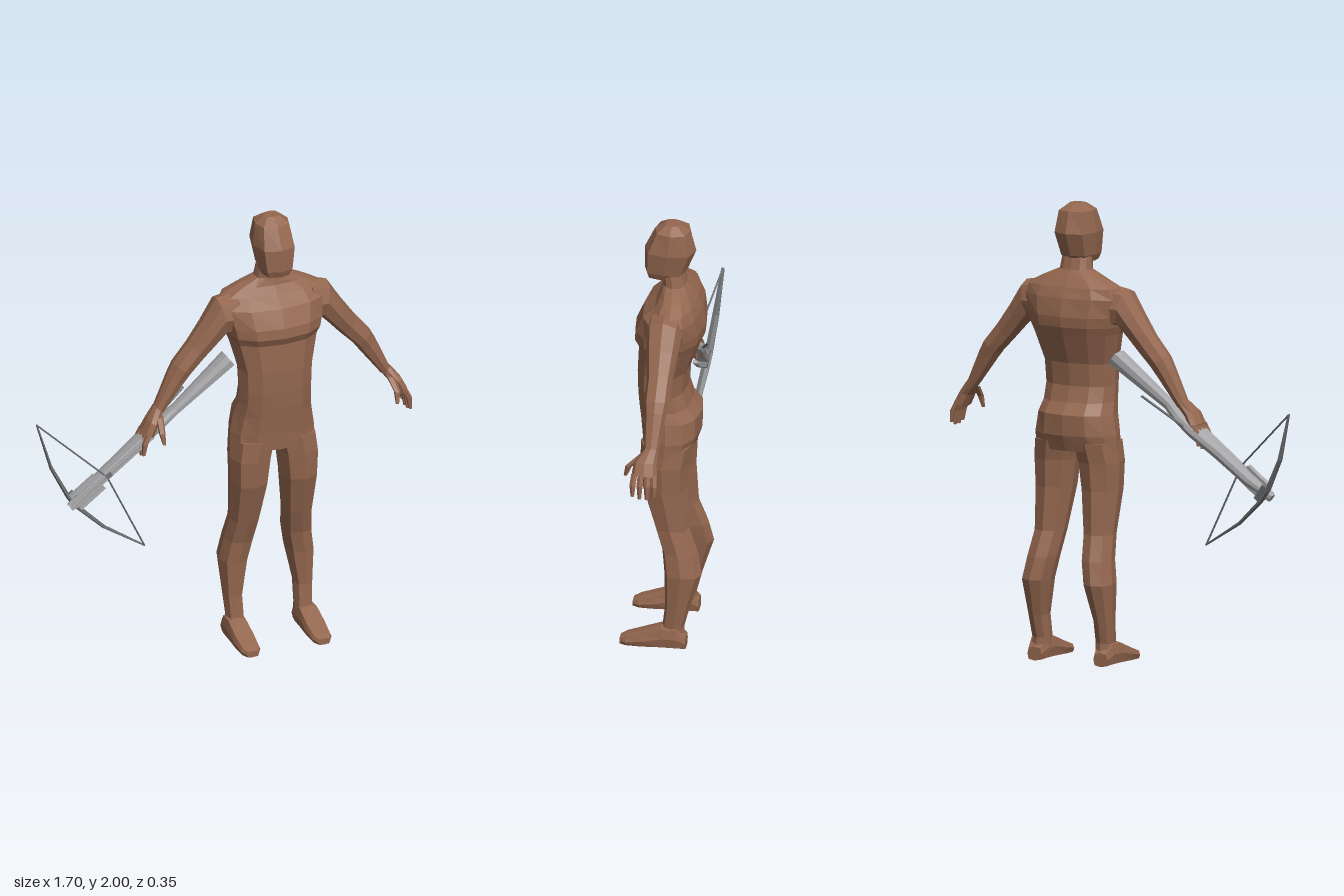
import * as THREE from 'three';

const V = (x, y, z) => new THREE.Vector3(x, y, z);
const skin = new THREE.MeshStandardMaterial({ color: 0x94674f });
skin.name = 'brown skin';
const paleGrey = new THREE.MeshStandardMaterial({ color: 0xa6a6a8 });
paleGrey.name = 'pale grey';
const darkGrey = new THREE.MeshStandardMaterial({ color: 0x6c6e70 });
darkGrey.name = 'dark grey';

// Closed cross-section around c, spanned by half-axes A and B; e < 1 makes it boxier
function ring(c, A, B, n, e = 1) {
  const pw = (v) => (Math.abs(v) < 1e-6 ? 0 : Math.sign(v) * Math.abs(v) ** e);
  return Array.from({ length: n }, (_, i) => {
    const a = (i / n) * Math.PI * 2;
    return c.clone().addScaledVector(A, pw(Math.cos(a))).addScaledVector(B, pw(Math.sin(a)));
  });
}

// Faceted skin over a list of rings, capped at both ends and always facing outwards
function loft(rings) {
  const tris = [], n = rings[0].length;
  for (let k = 0; k + 1 < rings.length; k++) {
    for (let i = 0; i < n; i++) {
      const j = (i + 1) % n, a = rings[k], b = rings[k + 1];
      tris.push([a[i], a[j], b[j]], [a[i], b[j], b[i]]);
    }
  }
  const first = rings[0], last = rings[rings.length - 1];
  for (let i = 1; i + 1 < n; i++) {
    tris.push([first[0], first[i + 1], first[i]], [last[0], last[i], last[i + 1]]);
  }
  const volume = tris.reduce((s, [a, b, c]) => s + a.dot(b.clone().cross(c)), 0);
  const pts = tris.flatMap(([a, b, c]) => (volume < 0 ? [a, c, b] : [a, b, c]));
  const g = new THREE.BufferGeometry().setFromPoints(pts);
  g.computeVertexNormals();
  return g;
}

function add(group, name, geometry, material) {
  const m = new THREE.Mesh(geometry, material);
  m.name = name;
  group.add(m);
  return m;
}

// Horizontal section: x range, height, front and back depth
const slice = (x0, x1, y, zf, zb, n, e) =>
  ring(V((x0 + x1) / 2, y, (zf + zb) / 2), V((x1 - x0) / 2, 0, 0), V(0, 0, (zf - zb) / 2), n, e);

function buildTorsoAndHead(body) {
  // height, half width, front, back
  const torso = [
    [0.93, 0.195, 0.1, -0.125], [1.0, 0.192, 0.105, -0.15], [1.09, 0.175, 0.115, -0.152],
    [1.14, 0.166, 0.12, -0.112], [1.21, 0.164, 0.125, -0.09], [1.31, 0.168, 0.128, -0.1],
    [1.44, 0.2, 0.122, -0.15], [1.475, 0.215, 0.14, -0.165], [1.52, 0.225, 0.135, -0.17],
    [1.6, 0.245, 0.1, -0.155], [1.645, 0.225, 0.045, -0.135], [1.68, 0.155, 0.025, -0.112],
    [1.715, 0.075, 0.018, -0.085], [1.77, 0.068, 0.02, -0.07],
  ];
  add(body, 'torso', loft(torso.map(([y, w, f, b]) => slice(-w, w, y, f, b, 12, 0.85))), skin);
  const head = [
    [1.745, 0.06, 0.088, -0.05], [1.775, 0.074, 0.1, -0.085], [1.875, 0.089, 0.1, -0.125],
    [1.97, 0.075, 0.055, -0.1], [2.0, 0.035, 0.01, -0.055],
  ];
  add(body, 'head', loft(head.map(([y, w, f, b]) => slice(-w, w, y, f, b, 8, 0.7))), skin);
}

function buildLeg(body, side, label) {
  // height, inner x, outer x, front, back
  const leg = [
    [0.97, 0.0, 0.19, 0.1, -0.13], [0.88, 0.02, 0.2, 0.1, -0.112], [0.76, 0.035, 0.195, 0.092, -0.105],
    [0.57, 0.058, 0.187, 0.035, -0.115], [0.46, 0.072, 0.2, 0.0, -0.155], [0.36, 0.093, 0.215, -0.012, -0.175],
    [0.2, 0.122, 0.203, -0.017, -0.125], [0.1, 0.12, 0.197, -0.005, -0.1], [0.04, 0.12, 0.2, -0.005, -0.105],
  ];
  add(body, label + 'Leg',
    loft(leg.map(([y, i, o, f, b]) => slice(side * i, side * o, y, f, b, 8, 0.8))), skin);
  // depth, half width, height
  const foot = [
    [-0.11, 0.035, 0.06], [-0.07, 0.045, 0.105], [-0.005, 0.047, 0.105],
    [0.08, 0.05, 0.068], [0.15, 0.045, 0.042], [0.178, 0.028, 0.03],
  ];
  add(body, label + 'Foot', loft(foot.map(([z, w, h]) =>
    ring(V(side * 0.165, h / 2, z), V(w, 0, 0), V(0, h / 2, 0), 8, 0.55))), skin);
}

function buildArm(body, side, label) {
  // top x, y, bottom x, y, front, back
  const limb = (rows, n) => loft(rows.map(([tx, ty, bx, by, f, b]) =>
    ring(V(side * (tx + bx) / 2, (ty + by) / 2, (f + b) / 2),
      V(side * (tx - bx) / 2, (ty - by) / 2, 0), V(0, 0, (f - b) / 2), n, 0.85)));
  add(body, label + 'Arm', limb([
    [0.17, 1.66, 0.17, 1.47, 0.06, -0.11], [0.255, 1.645, 0.22, 1.48, 0.055, -0.1],
    [0.32, 1.545, 0.26, 1.44, 0.045, -0.09], [0.385, 1.455, 0.32, 1.375, 0.03, -0.08],
    [0.455, 1.37, 0.38, 1.315, 0.03, -0.078], [0.48, 1.325, 0.41, 1.275, 0.022, -0.07],
    [0.545, 1.18, 0.507, 1.15, 0.012, -0.052],
  ], 8), skin);
  const hand = new THREE.Group();
  hand.name = label + 'Hand';
  body.add(hand);
  add(hand, 'palm', limb([
    [0.545, 1.185, 0.507, 1.155, 0.012, -0.052], [0.585, 1.135, 0.54, 1.11, 0.05, -0.05],
    [0.612, 1.085, 0.565, 1.06, 0.056, -0.056],
  ], 8), skin);
  const digit = (name, path) => add(hand, name, loft(path.map(([x, y, z, r]) =>
    ring(V(side * x, y, z), V(r, 0, 0), V(0, 0, r), 5))), skin);
  [-0.042, -0.014, 0.014, 0.042].forEach((z, i) => {
    const drop = [0.015, 0, 0, 0.01][i];
    digit('finger', [[0.59, 1.085, z, 0.014], [0.612, 1.04, z * 1.1, 0.014],
      [0.618, 0.978 + drop, z * 1.1, 0.008]]);
  });
  digit('thumb', [[0.535, 1.145, 0.02, 0.018], [0.545, 1.095, 0.075, 0.015], [0.54, 1.045, 0.09, 0.008]]);
}

// Crossbow in its own frame: x forward along the stock, y across, z up from the deck
function buildCrossbow() {
  const bow = new THREE.Group();
  bow.name = 'crossbow';
  const fwd = V(-0.8, -0.6, 0), up = V(-0.066, 0.088, 0.99).normalize();
  const across = up.clone().cross(fwd);
  bow.applyMatrix4(new THREE.Matrix4().makeBasis(fwd, across, up).setPosition(-0.722, 0.785, 0));

  // position, half width, top, bottom
  const stock = [
    [0, 0.018, 0.03, 0.0], [-0.12, 0.02, 0.03, -0.035], [-0.3, 0.022, 0.03, -0.045],
    [-0.45, 0.022, 0.03, -0.065], [-0.54, 0.02, 0.025, -0.06], [-0.62, 0.02, 0.015, -0.035],
    [-0.936, 0.034, 0.01, -0.07],
  ];
  add(bow, 'stock', loft(stock.map(([x, w, t, b]) =>
    ring(V(x, 0, (t + b) / 2), V(0, w, 0), V(0, 0, (t - b) / 2), 8, 0.5))), paleGrey);

  // deck rails and front clamps
  const box = (name, l, w, h, x, y, z, mat) =>
    add(bow, name, new THREE.BoxGeometry(l, w, h), mat).position.set(x, y, z);
  for (const s of [-1, 1]) {
    box('rail', 0.46, 0.008, 0.008, -0.24, s * 0.01, 0.034, paleGrey);
    box('clamp', 0.14, 0.014, 0.022, -0.1, s * 0.036, 0.015, paleGrey);
  }
  box('clampBridge', 0.025, 0.08, 0.03, -0.045, 0, -0.005, darkGrey);
  box('nut', 0.03, 0.02, 0.014, -0.215, 0, 0.036, darkGrey);

  // bow limbs: across, forward, half thickness, half height
  const half = [[0.39, -0.13, 0.004, 0.008], [0.19, -0.053, 0.008, 0.017], [0.03, -0.025, 0.01, 0.02]];
  const limbs = [...half, ...half.map(([y, ...r]) => [-y, ...r]).reverse()];
  add(bow, 'bowLimbs', loft(limbs.map(([y, x, a, b]) =>
    ring(V(x, y, -0.01), V(a, 0, 0), V(0, 0, b), 6))), darkGrey);

  const rod = (name, a, b, r) =>
    add(bow, name, new THREE.TubeGeometry(new THREE.LineCurve3(a, b), 1, r, 6), darkGrey);
  for (const s of [-1, 1]) rod('string', V(-0.13, s * 0.388, -0.01), V(-0.206, 0, 0.036), 0.004);
  rod('triggerLever', V(-0.48, 0, -0.055), V(-0.71, 0, -0.112), 0.006);
  return bow;
}

export function createModel() {
  const model = new THREE.Group();
  model.name = 'crossbowman';
  const body = new THREE.Group();
  body.name = 'body';
  body.position.x = 0.225;
  buildTorsoAndHead(body);
  for (const [side, label] of [[1, 'left'], [-1, 'right']]) {
    buildLeg(body, side, label);
    buildArm(body, side, label);
  }
  model.add(body, buildCrossbow());
  return model;
}
